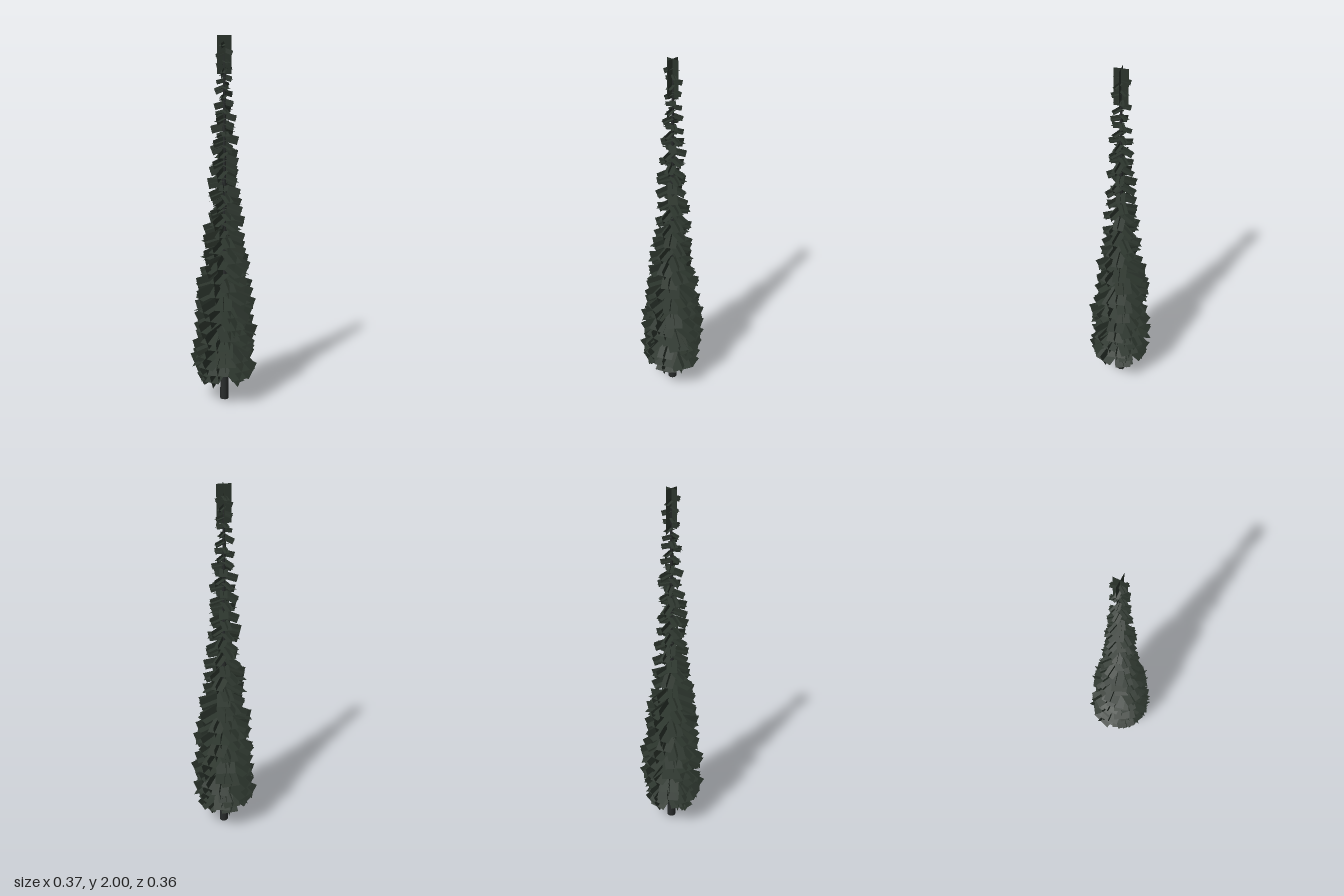
import * as THREE from 'three';
import { mergeGeometries } from 'three/addons/utils/BufferGeometryUtils.js';

// Small seeded generator, so the tree is always the same
function makeRandom(seed) {
  return () => {
    seed = (seed * 16807) % 2147483647;
    return seed / 2147483647;
  };
}

// Outline of the foliage: [height of branch tip, reach from the trunk]
const OUTLINE = [
  [0.11, 0.145], [0.17, 0.188], [0.4, 0.188], [0.55, 0.175], [0.7, 0.155], [0.85, 0.135],
  [1.05, 0.11], [1.25, 0.092], [1.5, 0.076], [1.75, 0.054], [1.96, 0.05],
];

function reachAt(y) {
  for (let i = 1; i < OUTLINE.length; i++) {
    const [y0, r0] = OUTLINE[i - 1];
    const [y1, r1] = OUTLINE[i];
    if (y <= y1) return THREE.MathUtils.mapLinear(y, y0, y1, r0, r1);
  }
  return OUTLINE[OUTLINE.length - 1][1];
}

// One drooping branch: a flat card crossed with an upright card, along +x
function branchGeometry(length, width, tilt, azimuth, y) {
  const flat = new THREE.PlaneGeometry(length, width).rotateX(-Math.PI / 2);
  const upright = new THREE.PlaneGeometry(length, width);
  return mergeGeometries([flat, upright])
    .translate(length / 2, 0, 0)
    .rotateZ(-tilt)
    .rotateY(azimuth)
    .translate(0, y, 0);
}

export function createModel() {
  const tree = new THREE.Group();
  tree.name = 'narrowConifer';

  const needles = new THREE.MeshStandardMaterial({ color: 0x2b342c, side: THREE.DoubleSide });
  needles.name = 'dark needle green';
  const bark = new THREE.MeshStandardMaterial({ color: 0x282b2b });
  bark.name = 'dark bark';

  // Tapering trunk
  const trunk = new THREE.Mesh(new THREE.CylinderGeometry(0.005, 0.024, 1.9, 10), bark);
  trunk.position.y = 0.95;
  trunk.name = 'trunk';
  tree.add(trunk);

  // Branches wind up the trunk by the golden angle, thinning towards the top
  const random = makeRandom(4711);
  const branches = [];
  let azimuth = 1.2;
  for (let tipY = 0.115; tipY < 1.96; tipY += 0.005 + 0.0065 * tipY) {
    const reach = reachAt(tipY) * (0.84 + 0.16 * random());
    const width = reach * (0.5 + 0.14 * random());
    const tilt = 0.2 + 0.2 * random() + 0.2 * Math.max(0, 1 - tipY / 0.6);
    const length = (reach - width * 0.4 * Math.sin(tilt)) / Math.cos(tilt);
    const rootY = Math.min(tipY + length * Math.sin(tilt), 1.97);
    branches.push(branchGeometry(length, width, tilt, azimuth, rootY));
    azimuth += 2.39996 + (random() - 0.5) * 0.5;
  }
  const foliage = new THREE.Mesh(mergeGeometries(branches), needles);
  foliage.name = 'branches';
  tree.add(foliage);

  // Upright crossed cards form the leader at the top
  const leader = new THREE.Group();
  leader.name = 'leader';
  for (let i = 0; i < 2; i++) {
    const card = new THREE.Mesh(new THREE.PlaneGeometry(0.076, 0.2), needles);
    card.name = 'leaderCard';
    card.position.y = 1.9;
    card.rotation.y = 0.6 + (i * Math.PI) / 2;
    leader.add(card);
  }
  tree.add(leader);

  return tree;
}
